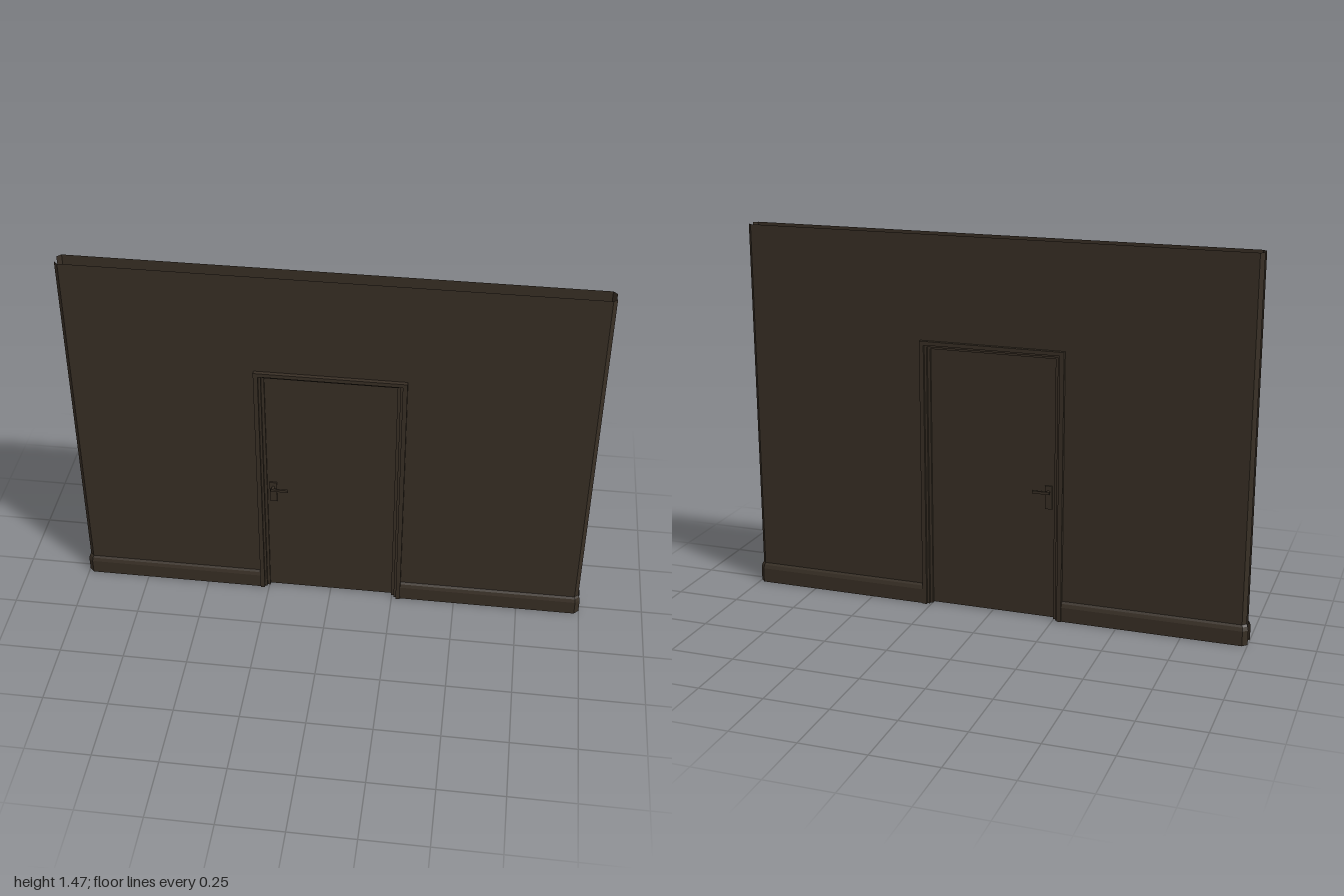
import * as THREE from 'three';

const WALL_Z = 0.032, WALL_H = 1.467, WALL_X = 0.977, FRAME_X = 0.284, FRAME_H = 1.064;

// Upside-down U outline: a rectangle with a doorway cut from its bottom edge
function archShape(outX, outY, inX, inY) {
  return new THREE.Shape([
    [-outX, 0], [-inX, 0], [-inX, inY], [inX, inY], [inX, 0], [outX, 0], [outX, outY], [-outX, outY],
  ].map(([x, y]) => new THREE.Vector2(x, y)));
}

// Flat-shaded skin over open rows of [x, y, z] points
function loft(rows) {
  const pos = [];
  for (let i = 0; i < rows.length - 1; i++) {
    for (let j = 0; j < rows[i].length - 1; j++) {
      const a = rows[i][j], b = rows[i][j + 1], c = rows[i + 1][j + 1], d = rows[i + 1][j];
      pos.push(...a, ...b, ...c, ...a, ...c, ...d);
    }
  }
  const g = new THREE.BufferGeometry();
  g.setAttribute('position', new THREE.Float32BufferAttribute(pos, 3));
  g.computeVertexNormals();
  return g;
}

export function createModel() {
  const model = new THREE.Group();
  model.name = 'wallWithDoor';
  const brown = new THREE.MeshStandardMaterial({ color: 0x382f25, side: THREE.DoubleSide });
  brown.name = 'darkBrown';

  const add = (parent, name, geometry, x = 0, y = 0, z = 0) => {
    const mesh = new THREE.Mesh(geometry, brown);
    mesh.name = name;
    mesh.position.set(x, y, z);
    parent.add(mesh);
    return mesh;
  };
  const arch = (name, outX, outY, inX, inY, depth) => add(model, name,
    new THREE.ExtrudeGeometry(archShape(outX, outY, inX, inY), { depth, bevelEnabled: false }), 0, 0, -depth / 2);

  // Skirting levels: [height, distance out from the wall]
  const levels = [[0, 0], [0, 0.011], [0.058, 0.011], [0.072, 0.006], [0.08, 0]];
  const skirtRow = ([y, o]) => [
    [FRAME_X - 0.004, y, WALL_Z + o],
    [WALL_X + 0.41 * o, y, WALL_Z + o],
    [WALL_X + 0.015 + 0.71 * o, y, WALL_Z - 0.015 + 0.71 * o],
  ];
  const mirrorRow = (row) => row.map(([x, y, z]) => [-x, y, z]).reverse();
  const chamfer = [0, WALL_H].map((y) => [[WALL_X, y, WALL_Z], [WALL_X + 0.015, y, WALL_Z - 0.015]]);

  // Two identical faces, front and back; the back one is turned by scaling z
  for (const side of [1, -1]) {
    const face = new THREE.Group();
    face.name = side > 0 ? 'frontFace' : 'backFace';
    const skirt = levels.map(skirtRow);
    add(face, 'wallPanel', new THREE.ShapeGeometry(archShape(WALL_X, WALL_H, 0.27, 1.05)), 0, 0, WALL_Z);
    add(face, 'leftWallEdge', loft(chamfer));
    add(face, 'rightWallEdge', loft(chamfer.map(mirrorRow)));
    add(face, 'leftSkirting', loft(skirt));
    add(face, 'rightSkirting', loft(skirt.map(mirrorRow)));

    // Door handle: back plate, neck and lever
    const handle = new THREE.Group();
    handle.name = 'doorHandle';
    add(handle, 'handlePlate', new THREE.BoxGeometry(0.028, 0.092, 0.006), -0.224, 0.491, 0.023);
    add(handle, 'handleNeck', new THREE.CylinderGeometry(0.006, 0.006, 0.022, 10).rotateX(Math.PI / 2), -0.224, 0.514, 0.034);
    add(handle, 'handleLever', new THREE.BoxGeometry(0.068, 0.01, 0.007), -0.198, 0.514, 0.043);
    face.add(handle);
    face.scale.z = side;
    model.add(face);
  }

  // Door frame stepping inwards to the leaf
  arch('doorCasing', FRAME_X, FRAME_H, 0.267, 1.049, 0.096);
  arch('doorJamb', 0.268, 1.05, 0.258, 1.041, 0.076);
  arch('doorStop', 0.259, 1.042, 0.247, 1.032, 0.056);

  // Door leaf
  add(model, 'doorLeaf', new THREE.BoxGeometry(0.498, 1.03, 0.04), 0, 0.519, 0);

  return model;
}
